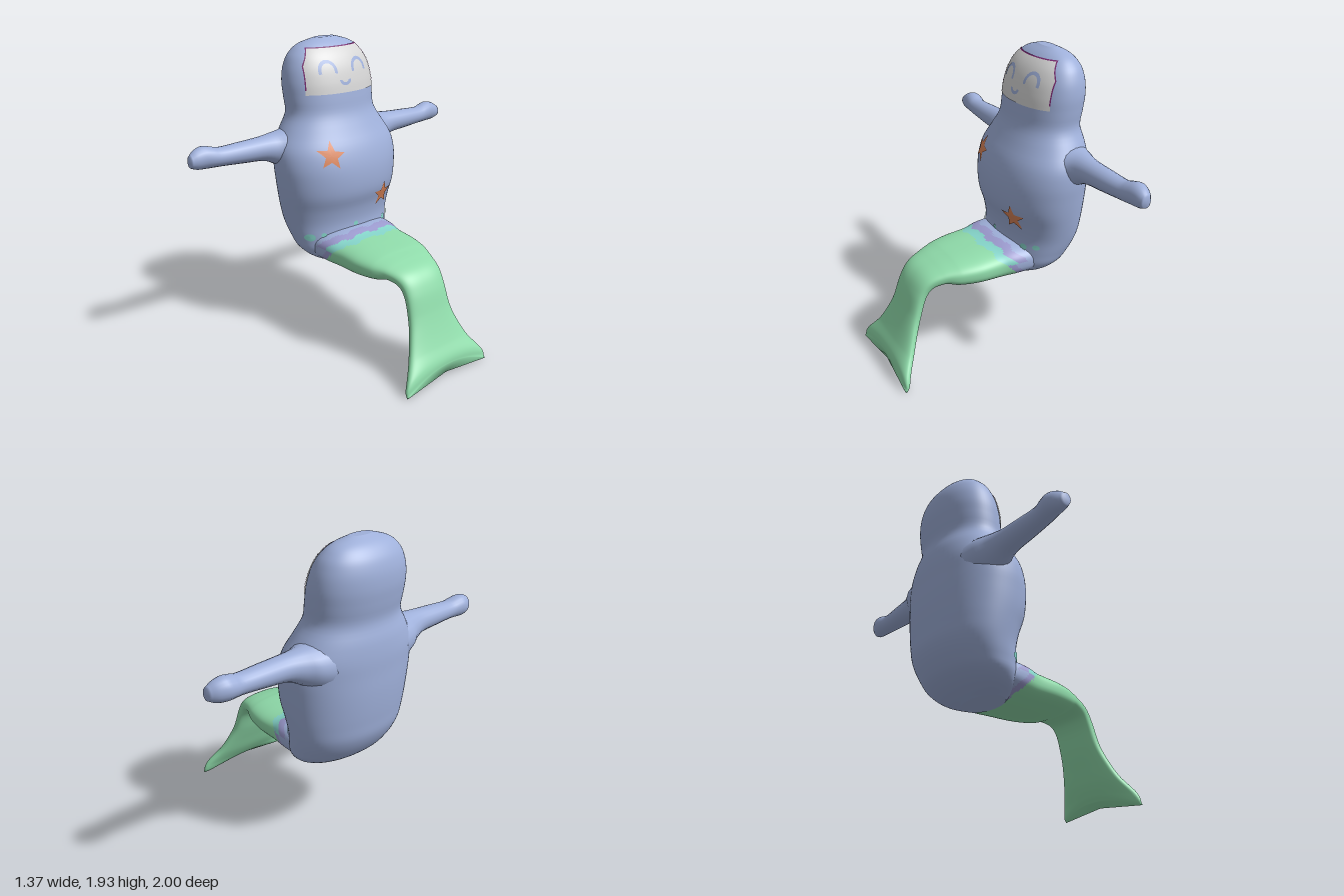
import * as THREE from 'three';

const mat = (name, color, side = THREE.FrontSide) =>
  Object.assign(new THREE.MeshStandardMaterial({ color, side }), { name });

// Point on a rounded (superellipse) ring
const sp = (v, n) => Math.sign(v) * Math.pow(Math.abs(v), 2 / n);

// Skin a list of closed rings, with both ends capped; pick() sorts faces into material groups
function loft(rings, pick) {
  const m = rings[0].length, pos = [], faces = [];
  rings.forEach(r => r.forEach(p => pos.push(p.x, p.y, p.z)));
  for (let i = 0; i < rings.length - 1; i++)
    for (let j = 0; j < m; j++) {
      const a = i * m + j, b = i * m + (j + 1) % m;
      faces.push([a, a + m, b], [b, a + m, b + m]);
    }
  [0, rings.length - 1].forEach((row, end) => {
    const c = rings[row].reduce((s, p) => s.add(p), new THREE.Vector3()).divideScalar(m);
    const k = pos.length / 3;
    pos.push(c.x, c.y, c.z);
    for (let j = 0; j < m; j++) {
      const a = row * m + j, b = row * m + (j + 1) % m;
      faces.push(end ? [a, k, b] : [a, b, k]);
    }
  });
  const g = new THREE.BufferGeometry();
  g.setAttribute('position', new THREE.Float32BufferAttribute(pos, 3));
  if (pick) {
    const buckets = [];
    for (const f of faces) {
      const c = [0, 1, 2].map(k => (pos[f[0] * 3 + k] + pos[f[1] * 3 + k] + pos[f[2] * 3 + k]) / 3);
      (buckets[pick(...c)] ??= []).push(...f);
    }
    let start = 0;
    buckets.forEach((b, i) => { g.addGroup(start, b.length, i); start += b.length; });
    g.setIndex(buckets.filter(Boolean).flat());
  } else g.setIndex(faces.flat());
  g.computeVertexNormals();
  return g;
}

function ring(c, u, v, a, b, n, count, warp) {
  return Array.from({ length: count }, (_, j) => {
    const t = j / count * Math.PI * 2;
    const p = c.clone().addScaledVector(u, a * sp(Math.cos(t), n)).addScaledVector(v, b * sp(Math.sin(t), n));
    if (warp) warp(p);
    return p;
  });
}

// Body profile: height, back x, front x, half width
const PROFILE = [
  [0.54, -0.36, -0.16, 0.17], [0.57, -0.45, -0.15, 0.255], [0.63, -0.55, -0.15, 0.325],
  [0.70, -0.61, -0.155, 0.352], [0.80, -0.66, -0.165, 0.378], [0.90, -0.675, -0.15, 0.40],
  [1.00, -0.685, -0.118, 0.418], [1.10, -0.69, -0.11, 0.43], [1.20, -0.69, -0.12, 0.437],
  [1.30, -0.69, -0.15, 0.425], [1.40, -0.68, -0.20, 0.37], [1.50, -0.657, -0.245, 0.315],
  [1.60, -0.67, -0.262, 0.315], [1.70, -0.68, -0.28, 0.315], [1.80, -0.67, -0.313, 0.292],
  [1.87, -0.64, -0.357, 0.25], [1.92, -0.59, -0.41, 0.18], [1.95, -0.53, -0.46, 0.08],
];
const N = 2.15;
const interp = new THREE.CubicInterpolant(PROFILE.map(p => p[0]), PROFILE.flatMap(p => p.slice(1)), 3);
function section(y) {
  const [x0, x1, w] = interp.evaluate(y);
  return { cx: (x0 + x1) / 2, rx: (x1 - x0) / 2, rz: w };
}
function onFront(z, y, lift) {
  const { cx, rx, rz } = section(y);
  const k = Math.max(0, 1 - Math.pow(Math.abs(z) / (rz + lift), N));
  return [cx + (rx + lift) * Math.pow(k, 1 / N), y, z];
}

// Thin painted patch wrapped on the front of the body; f(u, v) gives [z, y]
function patch(f, nu, nv, lift) {
  const pos = [], idx = [];
  for (let i = 0; i <= nu; i++)
    for (let j = 0; j <= nv; j++) {
      pos.push(...onFront(...f(i / nu, j / nv), lift));
      if (i < nu && j < nv) {
        const a = i * (nv + 1) + j, b = a + nv + 1;
        idx.push(a, b, a + 1, a + 1, b, b + 1);
      }
    }
  const g = new THREE.BufferGeometry();
  g.setAttribute('position', new THREE.Float32BufferAttribute(pos, 3));
  g.setIndex(idx);
  g.computeVertexNormals();
  return g;
}

export function createModel() {
  const root = new THREE.Group();
  root.name = 'mermaidToy';
  const D = THREE.DoubleSide;
  const blue = mat('blue', 0x9fb0da), green = mat('green', 0x90dcab), teal = mat('teal', 0x86d6cb);
  const lavender = mat('lavender', 0x9c9bcf), faceWhite = mat('faceWhite', 0xd6d6d6, D);
  const orange = mat('orange', 0xdc8558, D), purple = mat('purple', 0x782a70, D);
  const faceBlue = mat('faceLineBlue', 0x9fb0da, D), spotTeal = mat('spotTeal', 0x86d6cb, D);
  const add = (name, geo, material) => {
    const mesh = new THREE.Mesh(geo, material);
    mesh.name = name;
    root.add(mesh);
  };
  const V = (x, y, z) => new THREE.Vector3(x, y, z);
  const X = V(1, 0, 0), Z = V(0, 0, 1);

  // Body and head
  const rows = Array.from({ length: 81 }, (_, i) => 1.245 - 0.705 * Math.cos(i / 80 * Math.PI));
  add('body', loft(rows.map(y => {
    const s = section(y);
    return ring(V(s.cx, y, 0), X, Z, s.rx, s.rz, N, 72);
  })), blue);

  // Arms: reach, x, y, radius in x, radius in y
  const ARM = [
    [0.26, -0.47, 1.27, 0.17, 0.16], [0.36, -0.475, 1.285, 0.14, 0.125], [0.43, -0.48, 1.30, 0.10, 0.10],
    [0.52, -0.475, 1.315, 0.078, 0.076], [0.66, -0.475, 1.318, 0.07, 0.066], [0.80, -0.478, 1.32, 0.062, 0.058],
    [0.86, -0.485, 1.327, 0.064, 0.064], [0.91, -0.49, 1.332, 0.062, 0.068], [0.96, -0.485, 1.328, 0.05, 0.058],
    [1.0, -0.475, 1.323, 0.028, 0.035],
  ];
  const armPath = new THREE.CatmullRomCurve3(ARM.map(a => V(a[1], a[2], a[0])), false, 'catmullrom');
  const armSize = new THREE.CatmullRomCurve3(ARM.map(a => V(a[3], a[4], 0)), false, 'catmullrom');
  for (const s of [1, -1])
    add(s > 0 ? 'leftArm' : 'rightArm', loft(Array.from({ length: 37 }, (_, i) => {
      const c = armPath.getPoint(i / 36), r = armSize.getPoint(i / 36);
      c.z *= s;
      return ring(c, X, V(0, -s, 0), r.x, r.y, 2, 20);
    })), blue);

  // Tail and fluke: x, y, half width, half thickness, sweep of the tips
  const TAIL = [
    [-0.40, 0.66, 0.25, 0.08, 0], [-0.28, 0.66, 0.295, 0.11, 0], [-0.15, 0.655, 0.288, 0.115, 0],
    [-0.05, 0.645, 0.27, 0.105, 0], [0.10, 0.64, 0.262, 0.095, 0], [0.22, 0.638, 0.235, 0.082, 0],
    [0.31, 0.637, 0.195, 0.06, 0], [0.40, 0.605, 0.165, 0.055, 0], [0.455, 0.53, 0.155, 0.05, 0],
    [0.50, 0.40, 0.165, 0.047, 0], [0.54, 0.30, 0.195, 0.045, 0], [0.58, 0.21, 0.245, 0.045, 0.02],
    [0.62, 0.14, 0.325, 0.042, 0.07], [0.638, 0.10, 0.335, 0.03, 0.085],
  ];
  const tailPath = new THREE.CatmullRomCurve3(TAIL.map(a => V(a[0], a[1], 0)), false, 'catmullrom');
  const tailSize = new THREE.CatmullRomCurve3(TAIL.map(a => V(a[2], a[3], a[4])), false, 'catmullrom');
  const tailRings = Array.from({ length: 131 }, (_, i) => {
    const c = tailPath.getPoint(i / 130), t = tailPath.getTangent(i / 130), s = tailSize.getPoint(i / 130);
    return ring(c, V(t.y, -t.x, 0), Z, s.y, s.x, 2.6, 72,
      p => p.addScaledVector(t, s.z * (p.z / s.x) ** 2));
  });
  // Ragged colour bands at the waist, slanting forward towards the top
  const band = (x, y, z) => {
    const s = x - 1.05 * (y - 0.55) + 0.2 + 0.012 * Math.sin(z * 31) + 0.008 * Math.sin(z * 67 + 1);
    if (s > 0) return 0;
    if (y > 0.67 && s > -0.075) return 1;
    return s > (y > 0.67 ? -0.15 : -0.05) ? 2 : 3;
  };
  add('tail', loft(tailRings, band), [green, teal, lavender, blue]);

  // Face plate with a thin dark rim
  const half = y => 0.265 - 0.012 * (y - 1.63) / 0.17 - 0.6 * Math.max(0, y - 1.8) ** 1.05;
  add('face', patch((u, v) => {
    const y = 1.63 + 0.27 * v;
    return [(2 * u - 1) * half(y), y];
  }, 36, 20, 0.005), faceWhite);
  for (const s of [1, -1])
    add('faceRimSide', patch((u, v) => {
      const y = 1.66 + 0.24 * u;
      return [s * (half(y) + 0.006 * (v - 0.5)), y];
    }, 24, 1, 0.007), purple);
  add('faceRimTop', patch((u, v) => [(2 * u - 1) * 0.195, 1.897 + 0.006 * v], 24, 1, 0.007), purple);

  // Closed eyes and smile
  const arc = (z, y, rz, ry, from, to, w) => patch((u, v) => {
    const a = from + (to - from) * u, k = w * (v - 0.5);
    return [z + (rz + k) * Math.cos(a), y + (ry + k) * Math.sin(a)];
  }, 20, 2, 0.008);
  for (const s of [1, -1])
    add('eye', arc(s * 0.118, 1.765, 0.053, 0.058, -0.25, Math.PI + 0.25, 0.02), faceBlue);
  add('mouth', arc(0.008, 1.708, 0.033, 0.025, Math.PI, 2 * Math.PI, 0.019), faceBlue);

  // Stars on the chest and belly
  const star = (z, y, r, turn) => patch((u, v) => {
    const a = u * Math.PI * 2, tip = Math.abs(((u * 5) % 1) - 0.5) * 2;
    const w = Math.PI / 5 * (1 - tip), k = 0.42;
    const edge = r * k * Math.sin(Math.PI / 5) / (k * Math.sin(Math.PI / 5 - w) + Math.sin(w));
    return [z + v * edge * Math.sin(a + turn), y + v * edge * Math.cos(a + turn)];
  }, 40, 5, 0.006);
  add('chestStar', star(0.212, 1.275, 0.09, -0.15), orange);
  add('bellyStar', star(-0.19, 0.95, 0.09, 0), orange);

  // Loose spots above the waist
  for (const [z, y, r] of [[0.32, 0.73, 0.025], [0.25, 0.745, 0.016], [-0.31, 0.765, 0.018], [-0.24, 0.755, 0.022], [0.03, 0.79, 0.016]])
    add('waistSpot', patch((u, v) => [z + r * v * Math.cos(u * 6.2832), y + r * v * Math.sin(u * 6.2832)], 14, 2, 0.006), spotTeal);

  return root;
}
